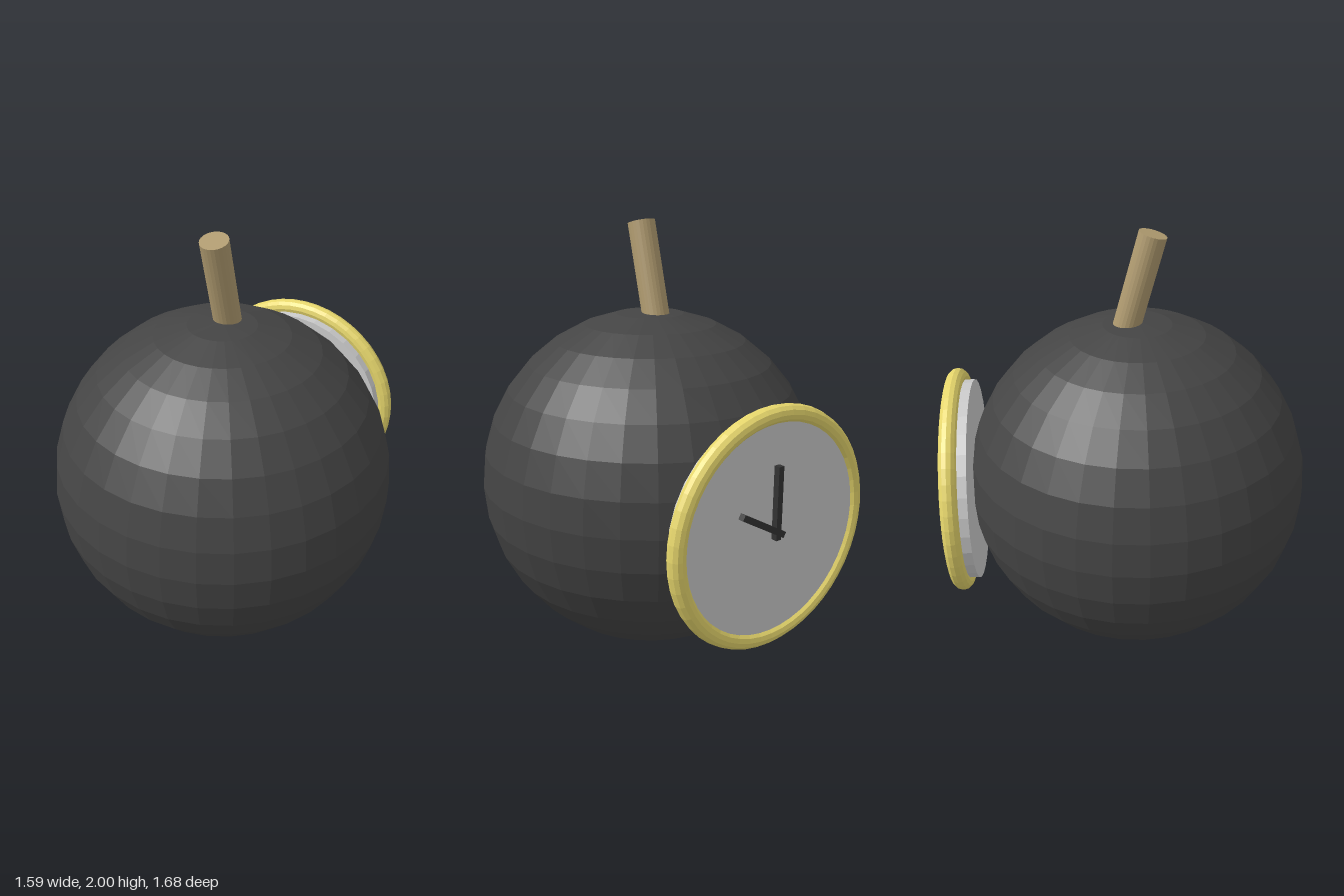
import * as THREE from 'three';

function material(color) {
  return new THREE.MeshStandardMaterial({ color, flatShading: true });
}

function addPart(parent, name, geometry, mat) {
  const mesh = new THREE.Mesh(geometry, mat);
  mesh.name = name;
  parent.add(mesh);
  return mesh;
}

export function createModel() {
  const model = new THREE.Group();
  model.name = 'roundBombWithClock';

  const iron = material(0x444444);
  const rope = material(0xb09b70);
  const brass = material(0xe6d66c);
  const dial = material(0xcccccc);
  const dark = material(0x333333);

  // Faceted round body
  const body = addPart(model, 'body', new THREE.SphereGeometry(0.795, 32, 16), iron);
  body.position.set(0, 0.8, 0.045);

  // Fuse leaning forward, its lower end sunk into the body
  const fuseLength = 0.55;
  const tilt = THREE.MathUtils.degToRad(15);
  const fuse = addPart(model, 'fuse', new THREE.CylinderGeometry(0.0625, 0.0625, fuseLength, 24), rope);
  fuse.rotation.x = tilt;
  fuse.position.set(0, 1.984 - Math.cos(tilt) * fuseLength / 2, 0.108 - Math.sin(tilt) * fuseLength / 2);

  // Clock on the back; its own +z points out of the dial
  const clock = new THREE.Group();
  clock.name = 'clock';
  clock.position.set(0, 0.8, -0.715);
  clock.rotation.y = Math.PI;
  model.add(clock);

  const face = addPart(clock, 'clockFace', new THREE.CylinderGeometry(0.475, 0.475, 0.1, 32), dial);
  face.rotation.x = Math.PI / 2;
  face.position.z = 0.05;

  const rim = addPart(clock, 'clockRim', new THREE.TorusGeometry(0.491, 0.039, 12, 48), brass);
  rim.position.z = 0.078;

  // Hands turn about the dial centre, each with a short tail
  const hands = [
    ['minuteHand', 0.32, 0.125, 0],
    ['hourHand', 0.263, 0.092, Math.PI / 3],
  ];
  for (const [name, length, offset, angle] of hands) {
    const geometry = new THREE.BoxGeometry(0.027, length, 0.03).translate(0, offset, 0.113);
    addPart(clock, name, geometry, dark).rotation.z = angle;
  }

  return model;
}
